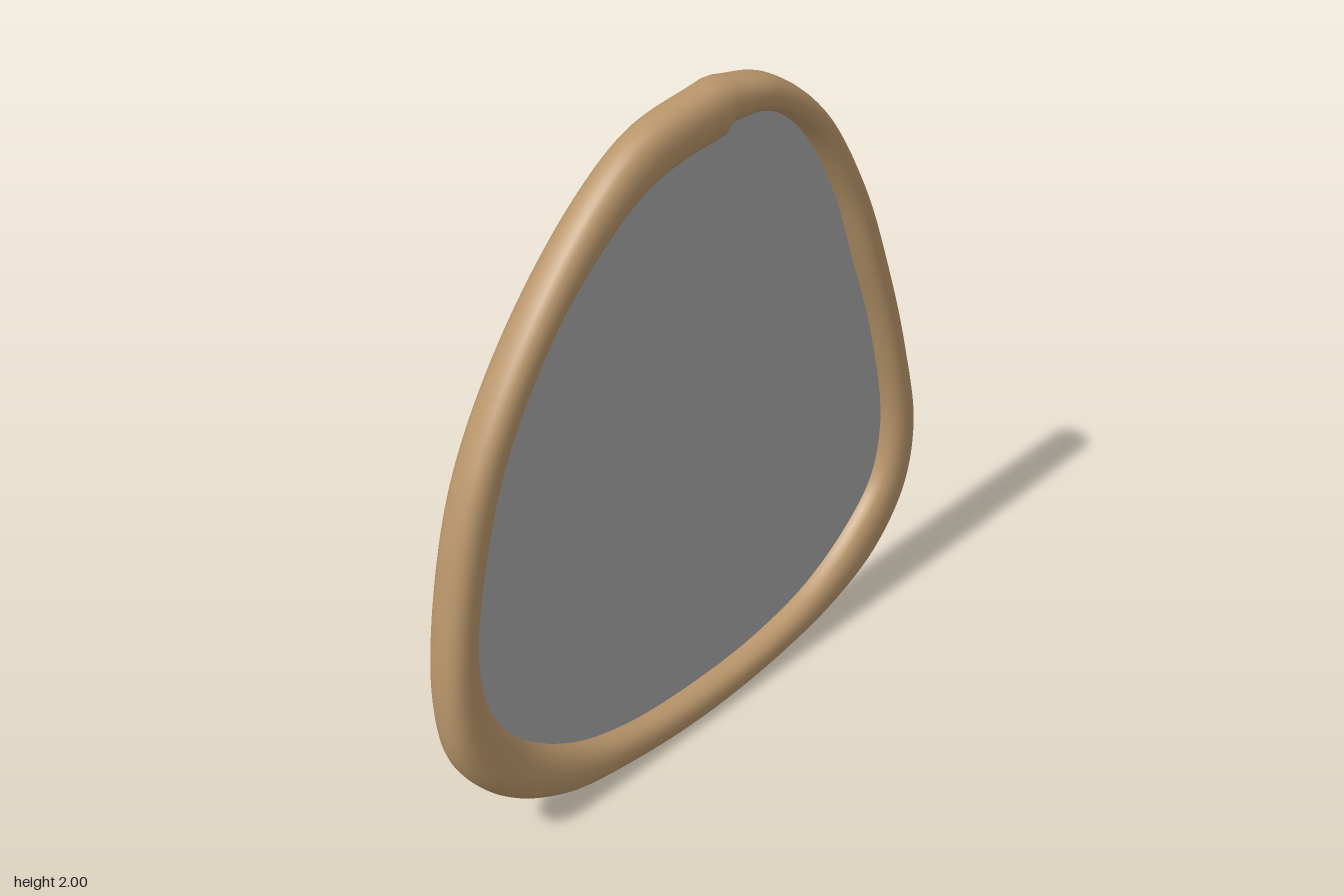
import * as THREE from 'three';

// Rim stations, clockwise from the seam at the top: outer x, y and inner x, y
const stations = [
  [0.10, 1.995, 0.09, 1.875], [0.27, 1.945, 0.23, 1.86], [0.46, 1.79, 0.38, 1.765],
  [0.64, 1.50, 0.535, 1.53], [0.77, 1.18, 0.65, 1.235], [0.865, 0.88, 0.75, 0.945],
  [0.932, 0.575, 0.812, 0.63], [0.90, 0.36, 0.78, 0.44], [0.775, 0.19, 0.67, 0.31],
  [0.59, 0.093, 0.485, 0.193], [0.325, 0.03, 0.245, 0.13], [0, 0.002, 0, 0.114],
  [-0.31, 0.022, -0.255, 0.13], [-0.55, 0.07, -0.47, 0.193], [-0.76, 0.20, -0.67, 0.335],
  [-0.90, 0.39, -0.785, 0.52], [-0.935, 0.60, -0.82, 0.73], [-0.905, 0.92, -0.775, 1.02],
  [-0.82, 1.235, -0.67, 1.315], [-0.64, 1.55, -0.47, 1.605], [-0.39, 1.83, -0.23, 1.79],
  [-0.20, 1.955, -0.09, 1.83], [0.06, 2.0, 0.075, 1.845],
];
const STEPS = 220, SIDES = 28, HALF_DEPTH = 0.06;

const sample = (k) => new THREE.CatmullRomCurve3(
  stations.map((s) => new THREE.Vector3(s[k], s[k + 1], 0)));

// Rounded exponent gives a slightly squared, soft section
const soft = (v) => Math.sign(v) * Math.abs(v) ** 0.82;

function rimGeometry(outer, inner) {
  const pos = [], idx = [];
  for (let i = 0; i < STEPS; i++) {
    const o = outer[i], n = inner[i];
    for (let j = 0; j < SIDES; j++) {
      const a = (j / SIDES) * Math.PI * 2;
      const p = n.clone().lerp(o, 0.5 + 0.5 * soft(Math.cos(a)));
      pos.push(p.x, p.y, HALF_DEPTH * soft(Math.sin(a)));
      // Last ring joins the first, leaving a small step at the seam
      const i2 = (i + 1) % STEPS, j2 = (j + 1) % SIDES;
      const A = i * SIDES + j, B = i * SIDES + j2, C = i2 * SIDES + j, D = i2 * SIDES + j2;
      idx.push(A, B, C, B, D, C);
    }
  }
  const g = new THREE.BufferGeometry();
  g.setAttribute('position', new THREE.Float32BufferAttribute(pos, 3));
  g.setIndex(idx);
  g.computeVertexNormals();
  return g;
}

export function createModel() {
  const group = new THREE.Group();
  group.name = 'mirror';

  const wood = new THREE.MeshStandardMaterial({ color: 0xb8956a });
  wood.name = 'wood';
  const glass = new THREE.MeshStandardMaterial({ color: 0xa6a6a6 });
  glass.name = 'silver glass';

  const at = (curve, i) => curve.getPoint(i / (STEPS - 1));
  const outerCurve = sample(0), innerCurve = sample(2);
  const outer = [], inner = [];
  for (let i = 0; i < STEPS; i++) {
    outer.push(at(outerCurve, i));
    inner.push(at(innerCurve, i));
  }

  // Rounded wooden rim
  const frame = new THREE.Mesh(rimGeometry(outer, inner), wood);
  frame.name = 'frame';
  group.add(frame);

  // Pane, recessed at the front and nearly flush at the back, tucked into the rim
  const edge = inner.map((n, i) => n.clone().lerp(outer[i], 0.25));
  const shape = new THREE.Shape(edge.map((p) => new THREE.Vector2(p.x, p.y)));
  const paneGeometry = new THREE.ExtrudeGeometry(shape, { depth: 0.04, bevelEnabled: false });
  paneGeometry.translate(0, 0, -0.04);
  const pane = new THREE.Mesh(paneGeometry, glass);
  pane.name = 'mirrorPane';
  group.add(pane);

  return group;
}
